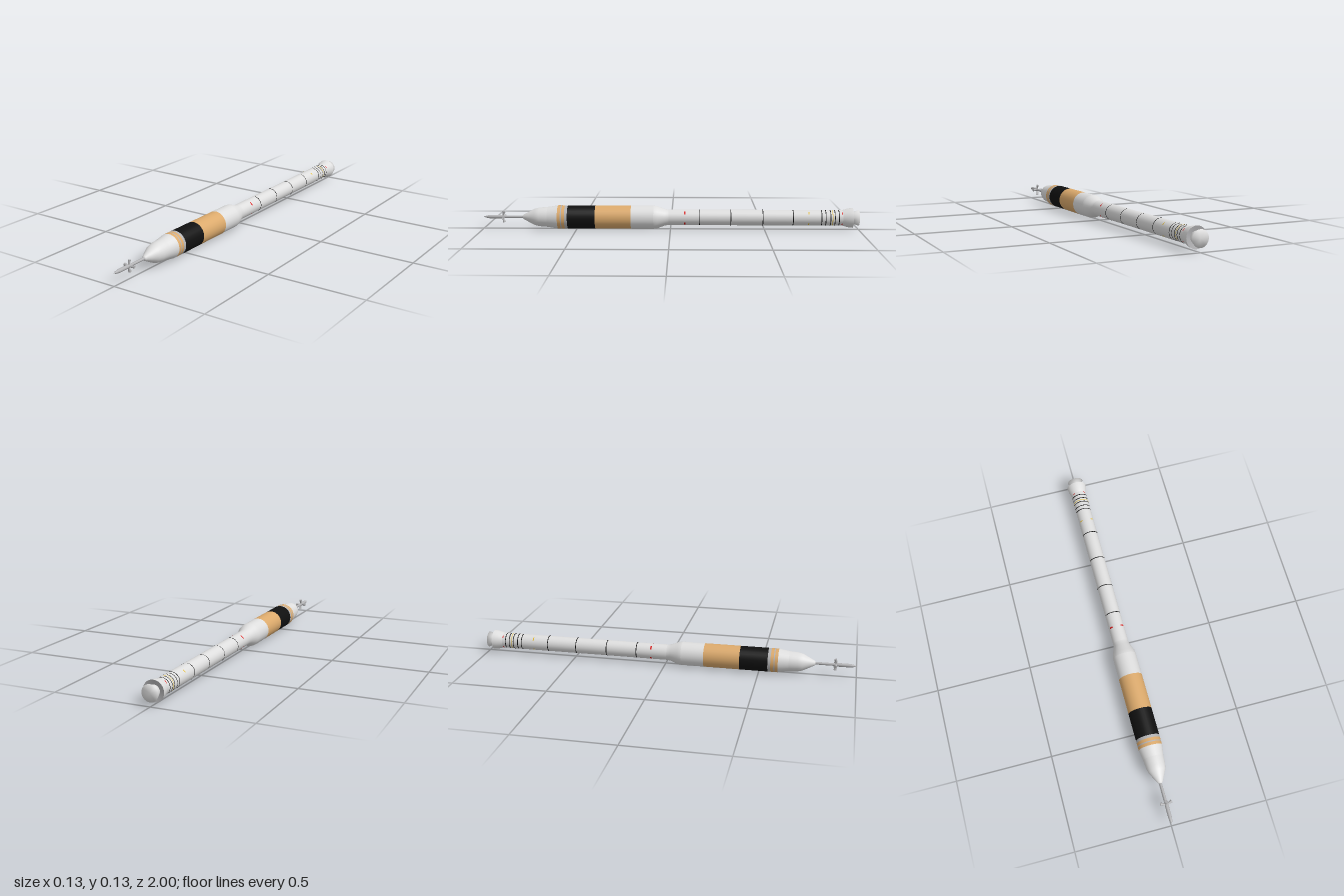
import * as THREE from 'three';

const SIDES = 28;
const mat = (name, color) => new THREE.MeshStandardMaterial({ name, color, side: THREE.DoubleSide });

export function createModel() {
  const white = mat('white', 0xdedede);
  const grey = mat('grey', 0xb4b4b6);
  const tan = mat('tan', 0xdcaa6c);
  const black = mat('black', 0x101010);
  const red = mat('red', 0xd81818);
  const yellow = mat('yellow', 0xe0b830);

  const rocket = new THREE.Group();
  rocket.name = 'rocket';
  rocket.position.y = 0.0625;

  // Turned part along z; points are [z, radius] from tail to nose
  const turned = (name, material, points, start = 0, sweep = Math.PI * 2, sides = SIDES) => {
    const g = new THREE.LatheGeometry(points.map(([z, r]) => new THREE.Vector2(r, z)), sides, start, sweep);
    g.rotateX(Math.PI / 2);
    const mesh = new THREE.Mesh(g, material);
    mesh.name = name;
    rocket.add(mesh);
    return mesh;
  };
  const R = 0.0622, B = 0.0415;

  // Engine nozzle and flared tail skirt
  turned('engineNozzle', white, [[-1, 0], [-1, 0.042], [-0.965, 0.03], [-0.94, 0.022]]);
  turned('skirtBase', grey, [[-0.955, 0], [-0.967, 0.053]]);
  turned('tailSkirt', white, [[-0.967, 0.053], [-0.945, 0.0505], [-0.912, B]]);

  // Booster and the taper up to the wide stage
  turned('booster', white, [[-0.912, B], [0.01, B]]);
  turned('interstageTaper', white, [[0.01, B], [0.03, 0.044], [0.07, 0.0595], [0.09, R]]);

  // Upper stage bands
  turned('upperStageAft', white, [[0.09, R], [0.21, R]]);
  turned('tankTan', tan, [[0.21, R], [0.4, R]]);
  turned('tankBlack', black, [[0.4, R], [0.547, R]]);
  turned('greyBand', grey, [[0.547, R], [0.562, R]]);
  turned('forwardTanBand', tan, [[0.562, R], [0.6, R]]);
  turned('forwardBandStripe', grey, [[0.578, R + 0.0004], [0.584, R + 0.0004]]);

  // Capsule shroud
  turned('shroudSkirt', white, [[0.6, R], [0.655, 0.0535]]);
  turned('shroud', white, [[0.655, 0.0535], [0.7, 0.05], [0.725, 0.044], [0.76, 0.026], [0.787, 0.012], [0.79, 0.007]]);

  // Escape tower with pointed tip
  turned('escapeTower', grey, [[0.785, 0.007], [0.9, 0.007]], 0, Math.PI * 2, 14);
  turned('escapeTowerHead', grey, [[0.89, 0.007], [0.905, 0.0095], [0.965, 0.0095], [0.985, 0.006], [1, 0]],
    0, Math.PI * 2, 14);

  // Four escape nozzles splayed outward around the tower
  for (let i = 0; i < 4; i++) {
    const arm = new THREE.Group();
    arm.name = 'escapeNozzle' + (i + 1);
    const cone = new THREE.Mesh(new THREE.CylinderGeometry(0.008, 0.004, 0.024, 10), grey);
    cone.name = 'nozzleCone';
    cone.position.set(0, 0.018, 0.893);
    cone.rotation.x = -0.3;
    arm.add(cone);
    arm.rotation.z = i * Math.PI / 2;
    rocket.add(arm);
  }

  // Thin painted rings around the booster
  const ring = (name, material, z, width) =>
    turned(name, material, [[z - width / 2, B + 0.0004], [z + width / 2, B + 0.0004]]);
  [-0.155, -0.32, -0.49, -0.65].forEach((z) => ring('segmentJoint', black, z, 0.004));
  [-0.8, -0.822, -0.847, -0.87, -0.892].forEach((z) => ring('aftRing', black, z, 0.004));
  ring('yellowRing', yellow, -0.858, 0.003);

  // Short painted dashes on the four diagonals
  const dashes = (name, material, z, width, sweep) => {
    for (let i = 0; i < 4; i++) {
      const start = Math.PI / 4 + i * Math.PI / 2 - sweep / 2;
      turned(name, material, [[z - width / 2, B + 0.0006], [z + width / 2, B + 0.0006]], start, sweep, 6);
    }
  };
  dashes('redForwardDash', red, -0.075, 0.008, 0.5);
  dashes('redAftDash', red, -0.908, 0.004, 0.4);
  dashes('yellowDash', yellow, -0.732, 0.006, 0.4);

  const model = new THREE.Group();
  model.name = 'model';
  model.add(rocket);
  return model;
}
